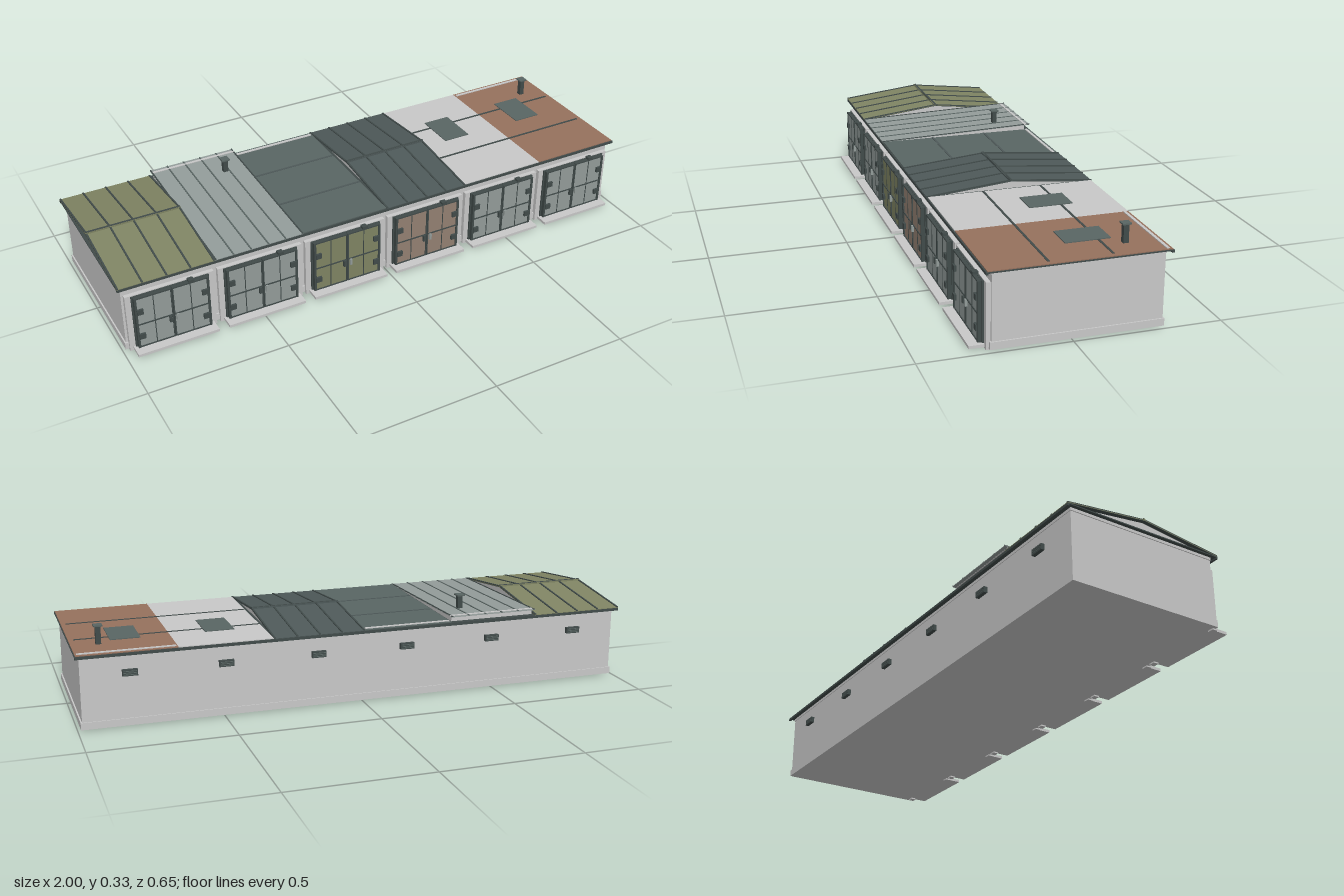
import * as THREE from 'three';

const mat = (name, color) => new THREE.MeshStandardMaterial({ name, color });

export function createModel() {
  const wall = mat('pale plaster', 0xc8c8c8);
  const trim = mat('dark trim', 0x414b4a);
  const olive = mat('olive paint', 0x7f8463);
  const greyBlue = mat('grey paint', 0x939c9a);
  const slate = mat('slate felt', 0x596563);
  const darkSheet = mat('dark sheet', 0x4e5959);
  const rust = mat('rust roof', 0x96715d);
  const clay = mat('clay door', 0x948072);

  const root = new THREE.Group();
  root.name = 'garageRow';

  // box given by its limits on each axis
  function box(name, m, x0, x1, y0, y1, z0, z1, parent = root) {
    const mesh = new THREE.Mesh(new THREE.BoxGeometry(x1 - x0, y1 - y0, z1 - z0), m);
    mesh.position.set((x0 + x1) / 2, (y0 + y1) / 2, (z0 + z1) / 2);
    mesh.name = name;
    parent.add(mesh);
    return mesh;
  }

  // closed [z, y] outline extruded along x
  function prism(name, m, outline, x0, x1, parent = root) {
    const shape = new THREE.Shape(outline.map(([z, y]) => new THREE.Vector2(-z, y)));
    const geo = new THREE.ExtrudeGeometry(shape, { depth: x1 - x0, bevelEnabled: false });
    geo.rotateY(Math.PI / 2);
    const mesh = new THREE.Mesh(geo, m);
    mesh.position.x = x0;
    mesh.name = name;
    parent.add(mesh);
    return mesh;
  }

  // sheet of thickness t following a [z, y] line
  function sheet(name, m, line, t, x0, x1, parent) {
    const top = line.map(([z, y]) => [z, y + t]).reverse();
    return prism(name, m, [...line, ...top], x0, x1, parent);
  }

  const FRONT = 0.28, BACK = -0.324, RIDGE = -0.022, W = 1 / 3;
  const bayCentre = i => -0.82 + i * 0.328;
  const bayEdge = i => (i === 0 ? -1 : i === 6 ? 1 : -0.985 + i * 0.3283);

  // main body
  box('walls', wall, -0.985, 0.985, 0.005, 0.262, -0.303, 0.26);
  box('plinth', wall, -0.99, 0.99, 0.005, 0.03, -0.307, 0.266);
  box('wallHead', wall, -0.988, 0.988, 0.25, 0.262, -0.305, 0.262);

  // eaves trim round the whole roof
  box('frontEave', trim, -1, 1, 0.255, 0.264, 0.275, 0.282);
  box('backEave', trim, -1, 1, 0.254, 0.263, -0.325, -0.317);
  box('roofDeck', trim, -1, 1, 0.26, 0.264, BACK, FRONT);

  // flat felt roofs with cross seams
  for (const [i, m] of [[2, slate], [4, wall], [5, rust]]) {
    const x0 = bayEdge(i), x1 = bayEdge(i + 1) - (i === 5 ? 0.003 : 0);
    box('flatRoof', m, x0, x1, 0.264, 0.267, BACK + 0.003, FRONT - 0.003);
    for (const z of [-0.13, 0.08])
      box('feltSeam', i === 2 ? darkSheet : trim, x0, Math.min(x1, 0.98), 0.267, 0.2685, z - 0.004, z + 0.004);
    if (i !== 4) box('backFlashing', wall, x0 + 0.005, x1 - 0.005, 0.267, 0.27, -0.311, -0.301);
    if (i > 2) {
      const cx = i === 4 ? 0.482 : 0.81;
      box('roofPatch', slate, cx - 0.052, cx + 0.052, 0.267, 0.27, -0.172, -0.018);
    }
  }

  // gabled roofs with standing seams
  function gable(name, m, x0, x1, peak) {
    const g = new THREE.Group();
    g.name = name;
    root.add(g);
    const line = [[FRONT, 0.264], [RIDGE, peak], [BACK, 0.264]];
    prism('gableInfill', wall, [[0.26, 0.262], [RIDGE, peak - 0.003], [-0.303, 0.262]], x0 + 0.012, x1 - 0.012, g);
    sheet('roofSheet', m, line, 0.002, x0, x1, g);
    sheet('undersheet', trim, line.map(([z, y]) => [z, y - 0.0015]), 0.0015, x0, x1, g);
    for (let k = 0; k <= 4; k++) {
      const x = x0 + 0.003 + (x1 - x0 - 0.006) * k / 4;
      sheet('standingSeam', trim, line.map(([z, y]) => [z, y + 0.002]), 0.003, x - 0.003, x + 0.003, g);
    }
    box('ridgeCap', m, x0, x1, peak, peak + 0.007, RIDGE - 0.005, RIDGE + 0.005, g);
    box('ridgeLine', trim, x0, x1, peak + 0.006, peak + 0.008, RIDGE - 0.004, RIDGE + 0.004, g);
  }
  gable('oliveGable', olive, bayEdge(0), bayEdge(1), 0.3);
  gable('darkGable', darkSheet, bayEdge(3), bayEdge(4), 0.293);

  // single pitch roof rising to the back
  const pitch = [[FRONT, 0.265], [BACK, 0.284]];
  const px0 = bayEdge(1), px1 = bayEdge(2);
  prism('pitchInfill', wall, [[0.26, 0.262], [-0.303, 0.262], [-0.303, 0.283]], px0 + 0.004, px1 - 0.006);
  sheet('pitchedSheet', greyBlue, pitch, 0.002, px0, px1);
  for (let k = 0; k <= 5; k++) {
    const x = px0 + 0.003 + (px1 - px0 - 0.006) * k / 5;
    sheet('pitchedSeam', k % 5 ? slate : trim, pitch.map(([z, y]) => [z, y + 0.002]), 0.002, x - 0.0025, x + 0.0025);
  }
  box('pitchFlashing', wall, px0 + 0.005, px1, 0.283, 0.2875, -0.311, -0.301);

  // flues
  for (const x of [-0.41, 0.905]) {
    box('flue', trim, x - 0.009, x + 0.009, 0.264, 0.33, -0.209, -0.191);
    box('flueCap', slate, x - 0.015, x + 0.015, 0.329, 0.334, -0.215, -0.185);
  }

  // one door bay, repeated along the front
  const doorColours = [greyBlue, greyBlue, olive, clay, greyBlue, greyBlue];
  doorColours.forEach((paint, i) => {
    const bay = new THREE.Group();
    bay.name = 'doorBay';
    bay.position.x = bayCentre(i);
    root.add(bay);

    // surround and apron
    for (const s of [-1, 1]) {
      const a = s * 0.134, b = s * 0.157;
      box('pier', wall, Math.min(a, b), Math.max(a, b), 0, 0.222, 0.255, 0.275, bay);
    }
    box('lintel', wall, -0.134, 0.134, 0.217, 0.222, 0.255, 0.275, bay);
    box('apron', wall, -0.145, 0.145, 0.005, 0.015, 0.255, 0.326, bay);

    // frame behind the leaves
    box('doorFrame', trim, -0.137, 0.137, 0.015, 0.219, 0.262, 0.281, bay);

    // two leaves with dark border, centre rail and hinges
    for (const s of [-1, 1]) {
      const span = (name, m, a, b, y0, y1, z0, z1) =>
        box(name, m, Math.min(s * a, s * b), Math.max(s * a, s * b), y0, y1, z0, z1, bay);
      span('doorLeaf', paint, 0.002, 0.131, 0.017, 0.217, 0.28, 0.29);
      span('outerStile', trim, 0.124, 0.132, 0.016, 0.218, 0.28, 0.294);
      span('innerStile', trim, 0.001, 0.005, 0.016, 0.218, 0.28, 0.293);
      span('topRail', trim, 0.005, 0.124, 0.213, 0.218, 0.28, 0.293);
      span('bottomRail', trim, 0.005, 0.124, 0.016, 0.02, 0.28, 0.293);
      span('middleRail', trim, 0.005, 0.124, 0.107, 0.111, 0.28, 0.293);
      span('midStile', trim, 0.064, 0.067, 0.02, 0.213, 0.286, 0.2915);
      for (const y of [0.062, 0.162])
        span('hinge', trim, 0.104, 0.126, y - 0.01, y + 0.01, 0.289, 0.298);
      span('handle', s > 0 ? greyBlue : trim, 0.008, 0.017, 0.085, 0.109, 0.289, 0.299);
    }
    box('topBolt', trim, 0.06, 0.08, 0.217, 0.227, 0.275, 0.294, bay);

    // back vent with slats
    box('vent', trim, -0.026, 0.026, 0.18, 0.202, -0.316, -0.3, bay);
    for (const y of [0.185, 0.191, 0.197])
      box('ventSlat', slate, -0.022, 0.022, y - 0.001, y + 0.001, -0.318, -0.314, bay);
  });

  return root;
}
